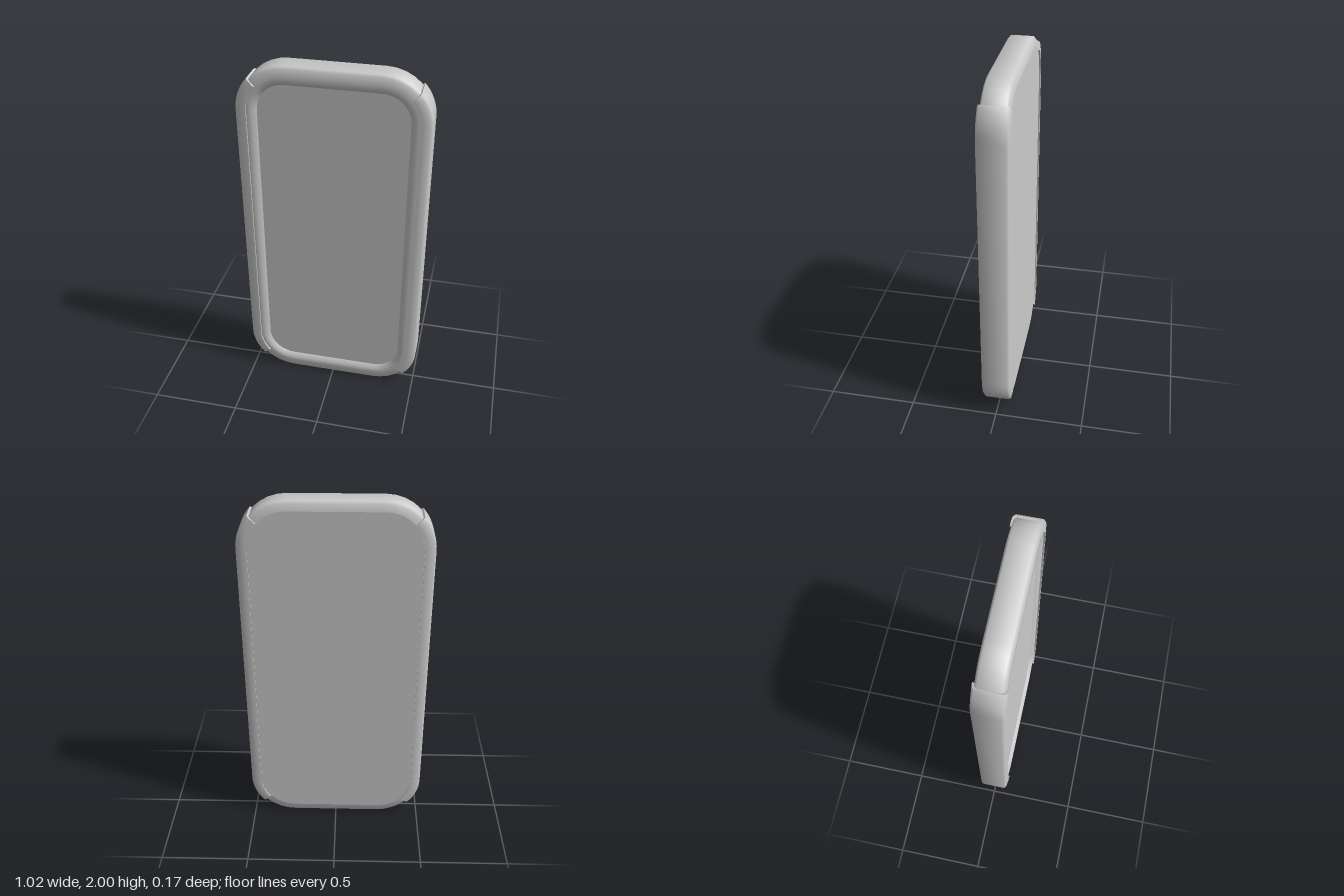
import * as THREE from 'three';
import { toCreasedNormals } from 'three/addons/utils/BufferGeometryUtils.js';

const CX = 0.25, CY = 0.75, MID = 1; // corner arc centres, and height of the middle
const BODY_R = 0.25, GRIP_R = 0.26;
const material = new THREE.MeshStandardMaterial({ color: 0xcccccc });

// Points on a corner arc: arc centre plus outward direction
function arc(sx, sy, from, to, steps = 8) {
  return Array.from({ length: steps + 1 }, (_, i) => {
    const a = THREE.MathUtils.degToRad(from + (to - from) * i / steps);
    return { x: sx * CX, y: MID + sy * CY, nx: Math.cos(a), ny: Math.sin(a) };
  });
}

const outline = [
  ...arc(1, -1, -90, 0), ...arc(1, 1, 0, 90),
  ...arc(-1, 1, 90, 180), ...arc(-1, -1, 180, 270),
];

// Sweep a profile of [inset, z] pairs along an outline
function sweep(path, radius, profile, closed) {
  const pos = [], index = [], m = profile.length, n = path.length;
  for (const p of path) {
    for (const [inset, z] of profile) {
      pos.push(p.x + p.nx * (radius - inset), p.y + p.ny * (radius - inset), z);
    }
  }
  for (let i = 0; i < (closed ? n : n - 1); i++) {
    for (let j = 0; j < m - 1; j++) {
      const a = i * m + j, b = ((i + 1) % n) * m + j;
      index.push(a, b, b + 1, a, b + 1, a + 1);
    }
  }
  if (!closed) { // end caps
    const e = (n - 1) * m;
    for (let j = 1; j < m - 1; j++) index.push(0, j, j + 1, e, e + j + 1, e + j);
  }
  const g = new THREE.BufferGeometry();
  g.setAttribute('position', new THREE.Float32BufferAttribute(pos, 3));
  g.setIndex(index);
  return toCreasedNormals(g, 1.4);
}

// Flat rounded panel filling the outline at a given inset
function panel(inset) {
  const r = BODY_R - inset;
  return new THREE.ShapeGeometry(new THREE.Shape(
    outline.map(p => new THREE.Vector2(p.x + p.nx * r, p.y + p.ny * r))));
}

export function createModel() {
  const model = new THREE.Group();
  const add = (name, geometry) => {
    const mesh = new THREE.Mesh(geometry, material);
    mesh.name = name;
    model.add(mesh);
    return mesh;
  };

  // Frame: rounded outer edge, front rim and slope down to the screen
  add('frame', sweep(outline, BODY_R, [
    [0.05, -0.075], [0.012, -0.068], [0, -0.058], [0, 0.058],
    [0.012, 0.068], [0.05, 0.075], [0.08, 0.075], [0.1, 0.055],
  ], true));

  // Recessed screen and flat back
  add('screen', panel(0.1)).position.z = 0.055;
  const back = panel(0.05);
  back.scale(-1, 1, 1);
  // restore the winding after mirroring, then turn it to face backwards
  back.index.array.reverse();
  back.rotateY(Math.PI);
  back.computeVertexNormals();
  add('backPanel', back).position.z = -0.075;

  // Raised side grips wrapping halfway round the corners
  const gripPath = [...arc(1, -1, -42, 0), ...arc(1, 1, 0, 42)];
  const grip = sweep(gripPath, GRIP_R, [
    [0.058, -0.06], [0.058, -0.084], [0.045, -0.084], [0.012, -0.079], [0, -0.068],
    [0, 0.068], [0.012, 0.079], [0.045, 0.084], [0.058, 0.084], [0.058, 0.06],
  ], false);
  add('leftGrip', grip);
  add('rightGrip', grip).rotation.y = Math.PI;

  return model;
}
